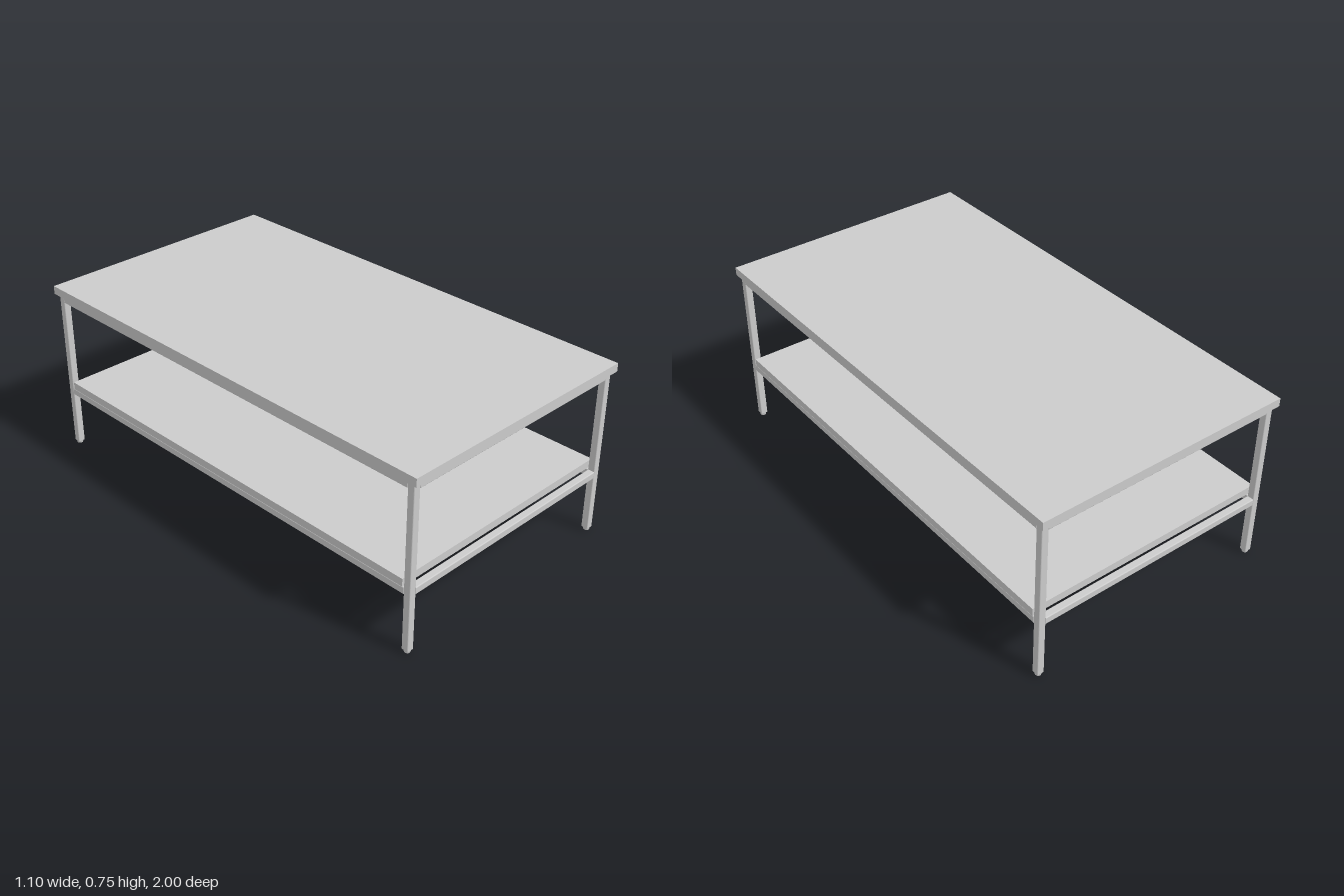
import * as THREE from 'three';

const T = 0.03;                 // square tube width
const LX = 0.523, LZ = 0.967;   // leg centre lines

export function createModel() {
  const group = new THREE.Group();
  const mat = new THREE.MeshStandardMaterial({ color: 0xcccccc });

  const add = (name, geo, x, y, z) => {
    const mesh = new THREE.Mesh(geo, mat);
    mesh.name = name;
    mesh.position.set(x, y, z);
    group.add(mesh);
    return mesh;
  };
  const slab = (name, w, d, y0, y1) =>
    add(name, new THREE.BoxGeometry(w, y1 - y0, d), 0, (y0 + y1) / 2, 0);

  // Square tube with softened corners, extruded along +z
  const tube = (length) => {
    const h = T / 2, r = 0.004, s = new THREE.Shape();
    s.absarc(h - r, h - r, r, 0, Math.PI / 2);
    s.absarc(r - h, h - r, r, Math.PI / 2, Math.PI);
    s.absarc(r - h, r - h, r, Math.PI, Math.PI * 1.5);
    s.absarc(h - r, r - h, r, Math.PI * 1.5, Math.PI * 2);
    return new THREE.ExtrudeGeometry(s, { depth: length, bevelEnabled: false, curveSegments: 3 });
  };

  // Boards: the shelf rests on the side rails, between the end legs
  slab('tableTop', 1.1, 2, 0.71, 0.745);
  slab('shelf', 1.076, 1.89, 0.278, 0.31);

  // Legs with small tapered feet
  const legGeo = tube(0.698).rotateX(-Math.PI / 2);
  const footGeo = new THREE.CylinderGeometry(0.0145, 0.012, 0.014, 16);
  for (const sx of [-1, 1]) for (const sz of [-1, 1]) {
    add('leg', legGeo, sx * LX, 0.012, sz * LZ);
    add('foot', footGeo, sx * LX, 0.007, sz * LZ);
  }

  // Upper and lower rail frames between the legs
  const sideGeo = tube(2 * LZ - T).translate(0, 0, T / 2 - LZ);
  const endGeo = tube(2 * LX - T).translate(0, 0, T / 2 - LX).rotateY(Math.PI / 2);
  for (const [level, y] of [['upper', 0.695], ['lower', 0.263]]) {
    for (const s of [-1, 1]) {
      add(level + 'SideRail', sideGeo, s * LX, y, 0);
      add(level + 'EndRail', endGeo, 0, y, s * LZ);
    }
  }
  return group;
}
